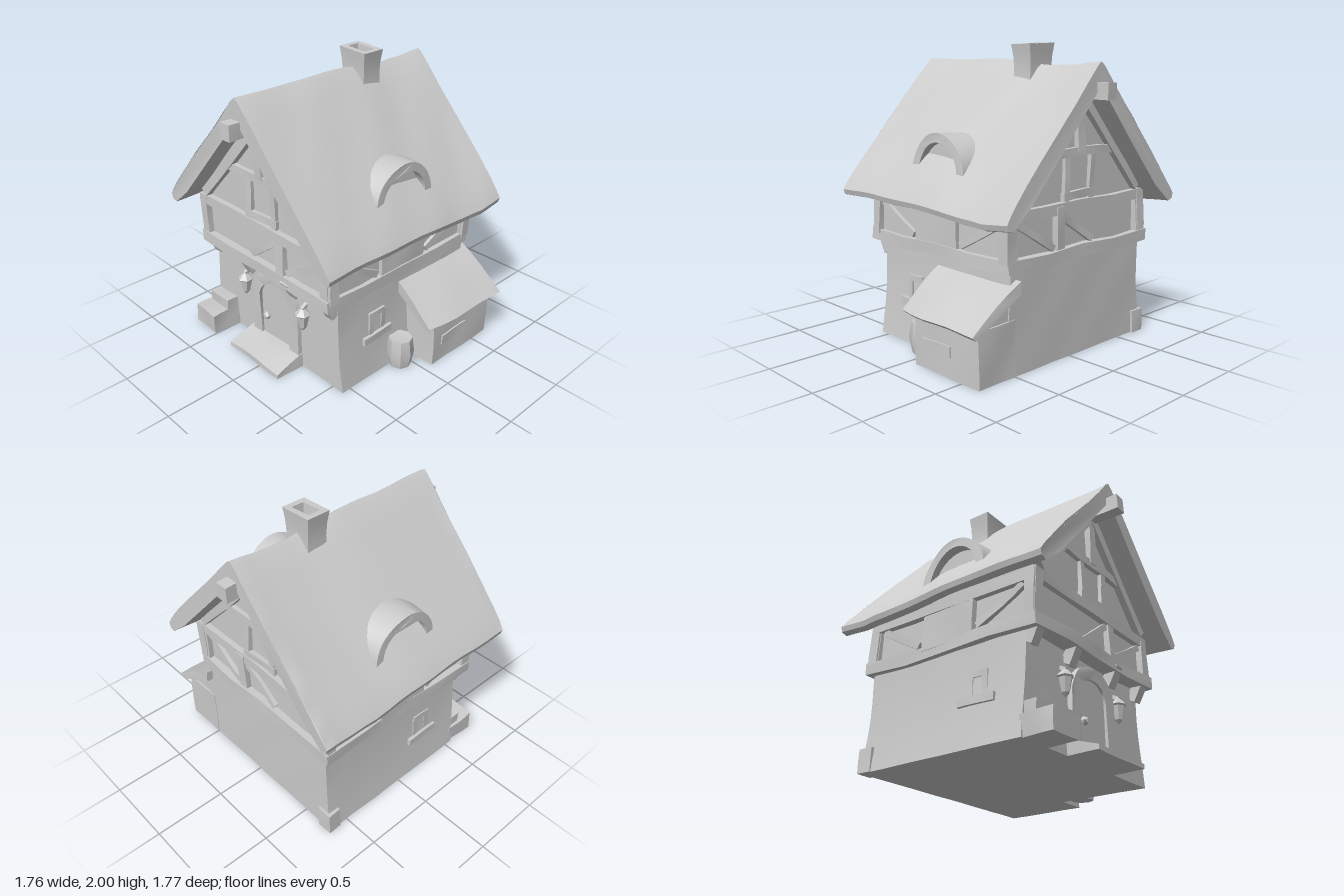
import * as THREE from 'three';
import { toCreasedNormals } from 'three/addons/utils/BufferGeometryUtils.js';

const CX = -0.075; // centre line of the main house
const material = new THREE.MeshStandardMaterial({ color: 0xcccccc, side: THREE.DoubleSide });

// Move every vertex by a rule of its position, so that seams stay closed
function warp(geo, rule) {
  const p = geo.attributes.position, v = new THREE.Vector3();
  for (let i = 0; i < p.count; i++) {
    rule(v.fromBufferAttribute(p, i));
    p.setXYZ(i, v.x, v.y, v.z);
  }
  return geo;
}

// Hand-hewn unevenness
function wobble(v, a) {
  const { x, y, z } = v;
  v.x += a * Math.sin(9 * y + 13 * z + 1);
  v.y += a * Math.sin(11 * x + 8 * z + 2) * (y < 0.01 ? 0 : 1);
  v.z += a * Math.sin(12 * x + 10 * y);
}

export function createModel() {
  const house = new THREE.Group();
  house.name = 'cottage';

  function add(name, geo, crease = 0.6, parent = house) {
    const mesh = new THREE.Mesh(toCreasedNormals(geo, crease), material);
    mesh.name = name;
    parent.add(mesh);
  }
  // Box given by its limits, with an optional rule for its vertices
  function block(name, x0, x1, y0, y1, z0, z1, a = 0.006, rule = () => {}) {
    const geo = new THREE.BoxGeometry(x1 - x0, y1 - y0, z1 - z0, 4, 3, 4);
    geo.translate((x0 + x1) / 2, (y0 + y1) / 2, (z0 + z1) / 2);
    add(name, warp(geo, v => { rule(v); wobble(v, a); }));
  }
  // Timber between two points
  function beam(name, a, b, w = 0.07, d = w) {
    const p = new THREE.Vector3(...a), q = new THREE.Vector3(...b);
    const geo = new THREE.BoxGeometry(w, p.distanceTo(q), d, 1, 4, 1);
    const dir = q.clone().sub(p).normalize();
    geo.applyQuaternion(new THREE.Quaternion().setFromUnitVectors(new THREE.Vector3(0, 1, 0), dir));
    geo.translate(...p.add(q).multiplyScalar(0.5).toArray());
    add(name, warp(geo, v => wobble(v, 0.005)));
  }
  const shapeOf = pts => new THREE.Shape(pts.map(p => new THREE.Vector2(...p)));
  const extrude = (shape, depth, steps = 1) =>
    new THREE.ExtrudeGeometry(shape, { depth, steps, bevelEnabled: false, curveSegments: 10 });

  // Ground floor, splayed at the foot of its sides
  const ground = new THREE.BoxGeometry(1.235, 0.68, 1.21, 6, 6, 6).translate(CX, 0.34, -0.04);
  add('groundFloor', warp(ground, v => {
    v.x = CX + (v.x - CX) * (1 + 0.08 * (1 - v.y / 0.68) ** 2);
    wobble(v, 0.003);
  }));

  // Upper floor and gables in one prism
  const gable = shapeOf([[-0.62, 0.66], [0.62, 0.66], [0.62, 1.1], [0, 1.79], [-0.62, 1.1]]);
  add('upperFloor', extrude(gable, 1.24).translate(CX, 0, -0.62), 0.3);
  block('jettyBeam', -0.735, 0.58, 0.645, 0.725, -0.67, 0.67, 0.01);

  // Timber frame on the front and back
  for (const s of [1, -1]) {
    const z = s * 0.625;
    const bar = (name, x0, y0, x1, y1, w) => beam(name, [x0, y0, z], [x1, y1, z], w);
    bar('tieBeam', -0.73, 0.98, 0.57, 0.98, 0.07);
    bar('collarBeam', -0.42, 1.32, 0.26, 1.32, 0.055);
    for (const x of [-0.69, 0.11, 0.53]) bar('wallPost', x, 0.7, x, 1.0, 0.07);
    bar('wallBrace', -0.2, 0.74, 0.09, 0.94, 0.045);
    bar('wallBrace', 0.48, 0.93, 0.16, 0.74, 0.045);
    bar('kingPost', CX, 1.32, CX, 1.74, 0.065);
    for (const m of [1, -1]) {
      bar('rafter', CX + m * 0.6, 1.04, CX, 1.69, 0.08);
      bar('windowPost', CX + m * 0.12, 1.0, CX + m * 0.12, 1.3, 0.045);
    }
    bar('windowSill', CX - 0.15, 1.05, CX + 0.15, 1.05, 0.05);
    const ends = [s * 0.55, s * 0.88];
    block('ridgeBeamEnd', -0.12, -0.035, 1.645, 1.75, Math.min(...ends), Math.max(...ends), 0.004);
  }

  // Timber frame on the two sides
  for (const s of [1, -1]) {
    const x = CX + s * 0.625;
    beam('wallPlate', [x, 0.97, -0.65], [x, 0.97, 0.65], 0.07);
    for (const z of [-0.63, 0.62]) beam('sidePost', [x, 0.7, z], [x, 1, z], 0.07);
    block('sidePanel', x - 0.03, x + 0.025, 0.7, 0.98, -0.2, 0.2, 0.004);
    beam('sideBrace', [x, 0.93, 0.56], [x, 0.75, 0.23], 0.045);
    beam('sideBrace', [x, 0.93, -0.56], [x, 0.75, -0.23], 0.045);
    // Small ground-floor window with its sill
    const wx = CX + s * 0.615;
    block('sideWindowSill', wx - 0.04, wx + 0.04, 0.26, 0.31, 0.1, 0.36, 0.004);
    beam('sideWindowHead', [wx, 0.45, 0.16], [wx, 0.45, 0.3], 0.04);
    for (const z of [0.17, 0.28]) beam('sideWindowJamb', [wx, 0.29, z], [wx, 0.45, z], 0.04);
  }

  // Roof: straight slopes with rolled eaves, dipping along the ridge behind the chimney
  const slopeLine = [0.03, 0.13, 0.23, 0.33, 0.43, 0.53, 0.63, 0.7].map(x => [x, 1.9 - 1.1 * x]);
  const half = [[0, 1.89], ...slopeLine, [0.765, 1.055], [0.8, 1.005], [0.79, 0.97], [0.75, 0.955],
    [0.6, 1.075], [0.3, 1.41]];
  const section = [...half, [0, 1.745], ...half.slice(1).reverse().map(([x, y]) => [-x, y])];
  add('roof', warp(extrude(shapeOf(section), 1.6, 16).translate(CX, 0, -0.8), v => {
    v.y -= 0.035 * Math.exp(-(((v.z + 0.42) / 0.28) ** 2)) + (v.z < -0.6 ? 0.012 : 0);
    const onSlope = Math.abs(v.x - CX) / 0.8;
    v.y += 0.012 * Math.sin(Math.PI * onSlope) * (v.x > CX ? 1 : 0); // left slope slightly fuller
    wobble(v, 0.004);
  }), 0.8);

  // Eyebrow dormers
  for (const s of [1, -1]) {
    const dormer = new THREE.Group();
    dormer.name = s > 0 ? 'leftDormer' : 'rightDormer';
    dormer.position.x = CX;
    dormer.rotation.y = s * Math.PI / 2;
    house.add(dormer);
    const arch = new THREE.Shape();
    arch.moveTo(0.25, 1.18).absellipse(0, 1.18, 0.25, 0.25, 0, Math.PI, false);
    arch.lineTo(-0.19, 1.18).absellipse(0, 1.18, 0.19, 0.19, Math.PI, 0, true);
    add('dormerHood', warp(extrude(arch, 0.43, 4).translate(0, 0, 0.2), v => {
      v.x *= 1 + 0.5 * (0.63 - v.z); // spreads into the roof
      wobble(v, 0.006);
    }), 0.7, dormer);
    const pane = new THREE.Shape();
    pane.moveTo(0.2, 1.16).absellipse(0, 1.18, 0.2, 0.2, 0, Math.PI, false);
    add('dormerWindow', extrude(pane, 0.1).translate(0, 0, 0.47), 0.5, dormer);
  }

  // Chimney with an open top
  const flue = shapeOf([[-0.115, -0.085], [0.115, -0.085], [0.115, 0.085], [-0.115, 0.085]]);
  flue.holes.push(new THREE.Path([[-0.075, -0.045], [-0.075, 0.045], [0.075, 0.045], [0.075, -0.045]]
    .map(p => new THREE.Vector2(...p))));
  const stack = extrude(flue, 0.35, 4).rotateX(-Math.PI / 2);
  add('chimney', warp(stack, v => {
    const k = 1 - 0.15 * Math.sin(Math.PI * v.y / 0.35);
    v.set(v.x * k - 0.07, v.y + 1.645 - (v.y > 0.34 && v.x > 0 ? 0.01 : 0), v.z * k - 0.235);
  }));
  block('chimneyFloor', -0.15, 0.01, 1.65, 1.9, -0.29, -0.18, 0);

  // Door in an arched stone surround
  const doorX = -0.045;
  const doorway = w => {
    const d = new THREE.Shape(), top = 0.36 + w * 0.9;
    d.moveTo(-w, 0).lineTo(w, 0).lineTo(w, 0.38);
    d.quadraticCurveTo(w * 0.8, top, 0, top).quadraticCurveTo(-w * 0.8, top, -w, 0.38);
    return d;
  };
  const surround = doorway(0.24);
  surround.holes.push(doorway(0.15));
  add('doorSurround', warp(extrude(surround, 0.075).translate(doorX, 0.04, 0.52), v => wobble(v, 0.005)), 0.7);
  add('door', extrude(doorway(0.16), 0.05).translate(doorX, 0.04, 0.525), 0.5);
  add('doorKnob', new THREE.IcosahedronGeometry(0.03, 0).translate(-0.14, 0.25, 0.585), 0.1);
  block('doorStep', -0.31, 0.2, 0, 0.1, 0.5, 0.78, 0.006, v => {
    v.y *= 1 - 0.65 * Math.max(0, (v.z - 0.57) / 0.21); // slopes to the ground
  });

  // Lanterns and the corbels above them
  for (const [lx, bx] of [[-0.35, -0.29], [0.25, 0.16]]) {
    const profile = [[0, 0.33], [0.025, 0.36], [0.045, 0.45], [0.055, 0.46], [0, 0.52]];
    const lamp = new THREE.LatheGeometry(profile.map(p => new THREE.Vector2(...p)), 6);
    add('lantern', lamp.translate(lx, 0, 0.595), 0.3);
    beam('lanternArm', [lx, 0.53, 0.54], [lx, 0.5, 0.6], 0.025);
    beam('corbel', [bx, 0.56, 0.57], [bx, 0.69, 0.64], 0.07);
  }
  // Corner brackets under the jetty
  for (const x of [-0.66, 0.5]) beam('cornerBracket', [x, 0.57, 0.57], [x, 0.68, 0.63], 0.07);

  // Lean-to on the left side
  block('leanToWall', 0.5, 0.8, 0, 0.36, -0.65, -0.07, 0.004);
  const wedge = shapeOf([[0.5, 0.3], [0.79, 0.3], [0.79, 0.38], [0.5, 0.55]]);
  add('leanToGable', extrude(wedge, 0.57).translate(0, 0, -0.64), 0.3);
  const slope = shapeOf([[0.5, 0.6], [0.6, 0.55], [0.7, 0.49], [0.8, 0.415], [0.88, 0.35], [0.85, 0.325],
    [0.7, 0.41], [0.5, 0.52]]);
  add('leanToRoof', warp(extrude(slope, 0.7, 6).translate(0, 0, -0.69), v => {
    v.x -= 0.04 * Math.max(0, (v.x - 0.5) / 0.38) * ((v.z + 0.5) / 0.5) ** 2; // bowed eave
    wobble(v, 0.006);
  }), 0.7);
  block('leanToHatch', 0.78, 0.81, 0.13, 0.2, -0.4, -0.15, 0.004);

  // Barrel beside the lean-to, and the crate at the front
  const staves = [[0, 0], [0.075, 0], [0.095, 0.1], [0.08, 0.21], [0, 0.2]];
  add('barrel', new THREE.LatheGeometry(staves.map(p => new THREE.Vector2(...p)), 8).translate(0.63, 0, 0.065), 0.7);
  block('crate', -0.73, -0.5, 0, 0.14, 0.55, 0.775, 0.008);
  block('crateBack', -0.71, -0.5, 0.1, 0.215, 0.55, 0.65, 0.006);
  block('cornerStone', -0.75, -0.64, 0, 0.15, -0.66, -0.56, 0.006);
  return house;
}
